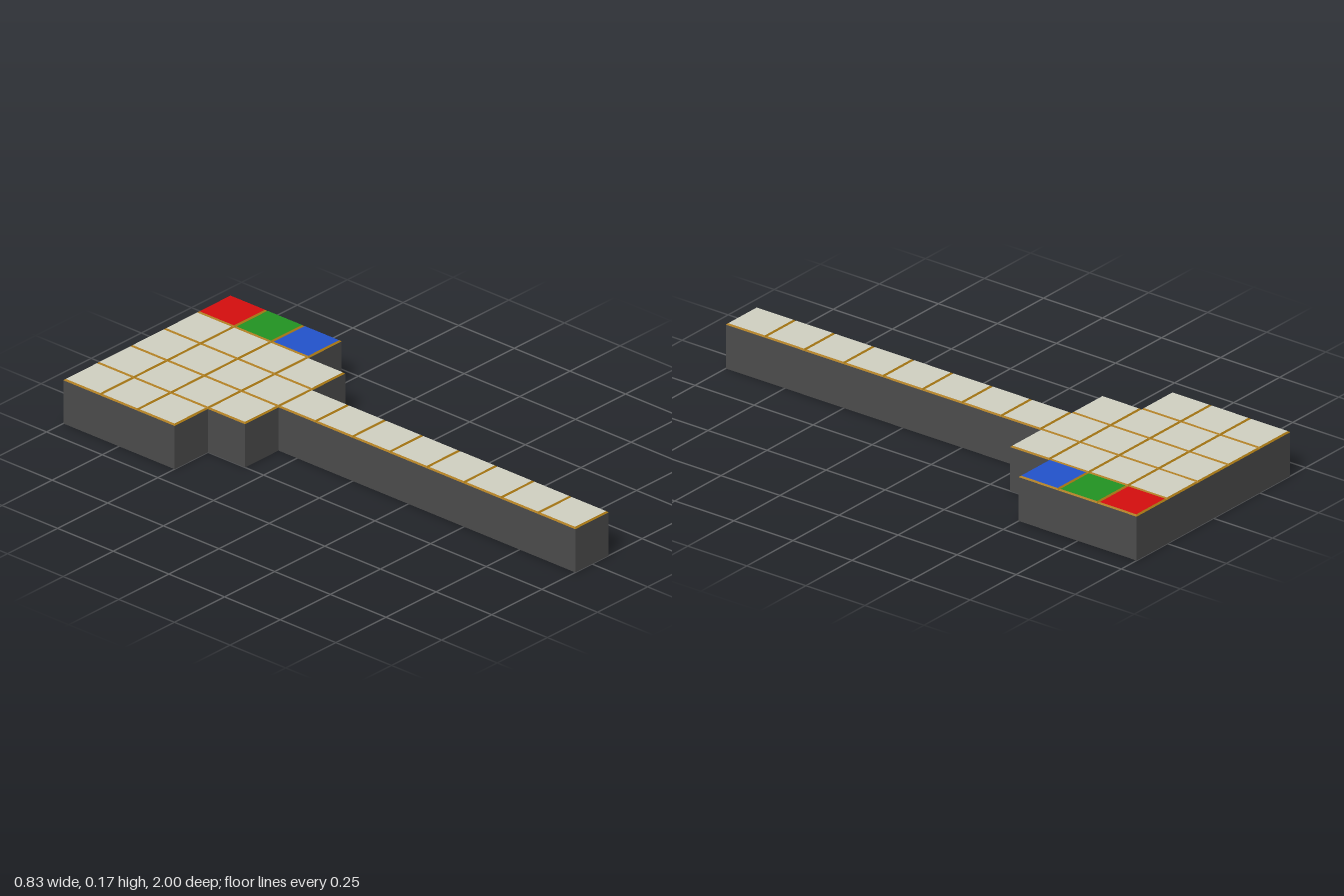
import * as THREE from 'three';

const TILE = 1 / 6;     // side of one square tile
const HEIGHT = 0.167;   // top of the tiles
const WALL = 0.162;     // top of the walls, where the bevels start
const INSET = 0.006;    // width of the bevel

const material = (name, color) => new THREE.MeshStandardMaterial({ name, color, side: THREE.DoubleSide });

export function createModel() {
  const model = new THREE.Group();
  model.name = 'tiledPath';
  const mats = {
    wall: material('charcoal', 0x4c4c4c),
    gold: material('gold', 0xa87814),
    cream: material('cream', 0xd2d2c3),
    red: material('red', 0xd60e0e),
    green: material('green', 0x229422),
    blue: material('blue', 0x2353cc),
  };

  // Open-bottomed shell: one upright panel per edge of the outline
  const half = [
    [0.5, 6], [0.5, -2], [1.5, -2], [1.5, -3], [2.5, -3], [2.5, -6],
  ].map(([x, z]) => [x * TILE, z * TILE]);
  const outline = [...half, ...half.map(([x, z]) => [-x, z]).reverse()];
  const walls = new THREE.Group();
  walls.name = 'walls';
  outline.forEach(([x0, z0], i) => {
    const [x1, z1] = outline[(i + 1) % outline.length];
    const panel = new THREE.Mesh(new THREE.PlaneGeometry(Math.hypot(x1 - x0, z1 - z0), WALL), mats.wall);
    panel.name = 'wallPanel';
    panel.position.set((x0 + x1) / 2, WALL / 2, (z0 + z1) / 2);
    panel.rotation.y = Math.atan2(z0 - z1, x1 - x0);
    walls.add(panel);
  });
  model.add(walls);

  // Square tile top and its sloping rim
  const side = TILE - 2 * INSET;
  const topGeometry = new THREE.PlaneGeometry(side, side).rotateX(-Math.PI / 2);
  const rimGeometry = new THREE.CylinderGeometry(side * Math.SQRT1_2, TILE * Math.SQRT1_2, HEIGHT - WALL, 4, 1, true)
    .rotateY(Math.PI / 4).toNonIndexed();
  rimGeometry.computeVertexNormals();

  function addTile(column, row, color) {
    const tile = new THREE.Group();
    tile.name = color + 'Tile';
    const top = new THREE.Mesh(topGeometry, mats[color]);
    top.name = 'tileTop';
    top.position.y = HEIGHT;
    const rim = new THREE.Mesh(rimGeometry, mats.gold);
    rim.name = 'tileRim';
    rim.position.y = (HEIGHT + WALL) / 2;
    tile.add(top, rim);
    tile.position.set(column * TILE, 0, (row + 0.5) * TILE - 1);
    model.add(tile);
  }

  // Wide head, narrower step, then a single-file path
  const endColors = ['red', 'green', 'blue'];
  for (let row = 0; row < 12; row++) {
    const reach = row < 3 ? 2 : row === 3 ? 1 : 0;
    for (let column = -reach; column <= reach; column++) {
      addTile(column, row, column === 2 ? endColors[row] : 'cream');
    }
  }
  return model;
}
